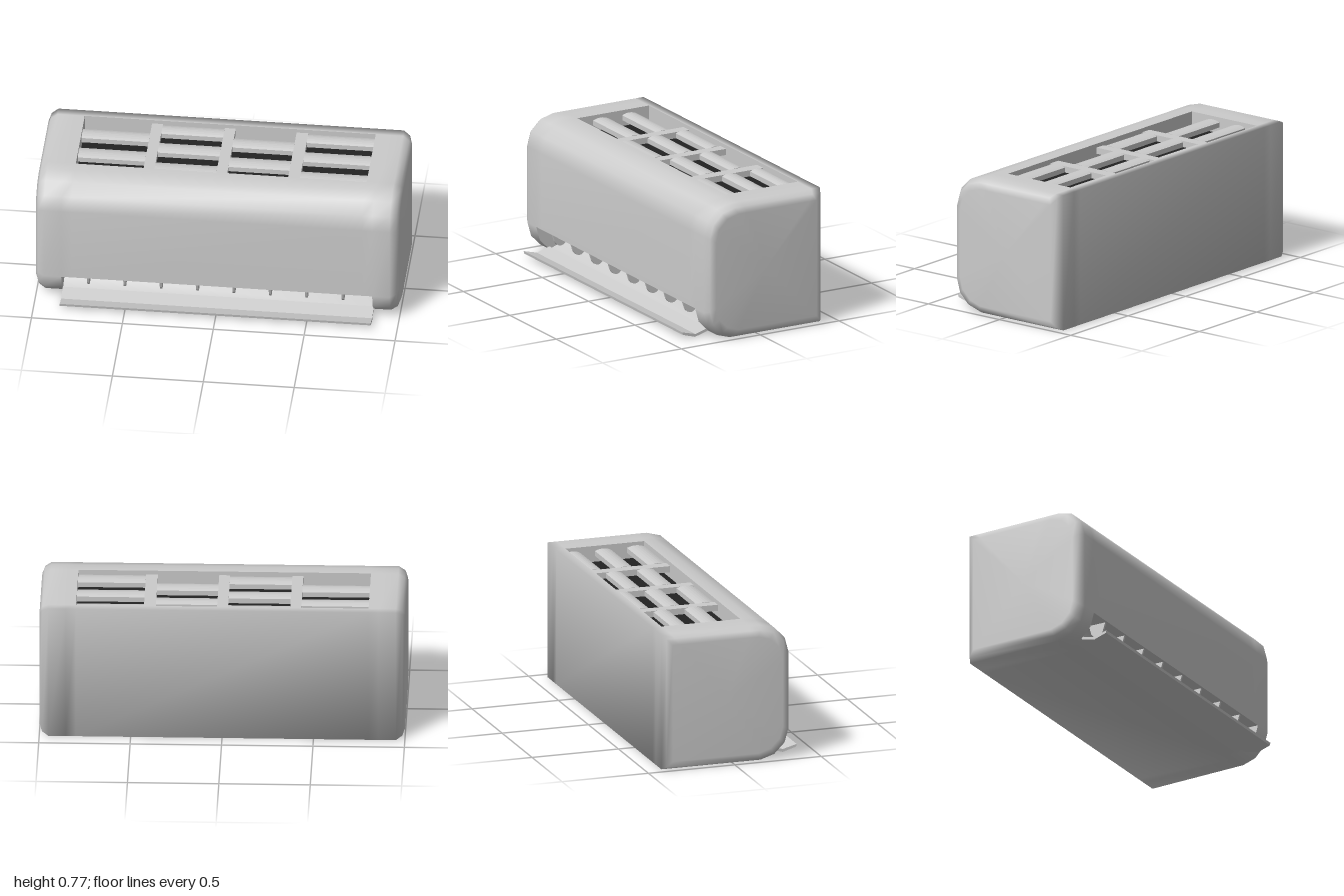
import * as THREE from 'three';

const grey = new THREE.MeshStandardMaterial({ color: 0xcccccc });
const greyThin = new THREE.MeshStandardMaterial({ color: 0xcccccc, side: THREE.DoubleSide });
const dark = new THREE.MeshStandardMaterial({ color: 0x222222 });

// Side profile of the housing as [z, y], from the back bottom edge round the front
const PROFILE = [[-0.408, 0], [0.165, 0], [0.245, 0.025], [0.305, 0.085], [0.328, 0.165], [0.328, 0.6],
  [0.305, 0.685], [0.245, 0.745], [0.165, 0.767], [0.1, 0.767], [-0.355, 0.767], [-0.408, 0.767]];
const OUTLET_X = 0.855, GRILLE_X = 0.8, GRILLE_BACK = -0.355, GRILLE_FRONT = 0.1, TOP = 0.767;

function mesh(name, geometry, material = grey) {
  const m = new THREE.Mesh(geometry, material);
  m.name = name;
  return m;
}

function sideShape(points) {
  return new THREE.Shape(points.map(([z, y]) => new THREE.Vector2(z, y)));
}

// Solid with a [z, y] section, centred on x = 0
function bar(shape, width) {
  return new THREE.ExtrudeGeometry(shape, { depth: width, bevelEnabled: false, curveSegments: 6 })
    .translate(0, 0, -width / 2).rotateY(-Math.PI / 2);
}

function surface(positions, index) {
  const g = new THREE.BufferGeometry();
  g.setAttribute('position', new THREE.Float32BufferAttribute(positions, 3));
  g.setIndex(index);
  g.computeVertexNormals();
  return g;
}

// Housing lofted along x, with inset ends and gaps for the outlet and the grille
function housing() {
  const stations = [[-1, 0.05], [-0.985, 0.018], [-0.95, 0], [-OUTLET_X, 0], [-GRILLE_X, 0],
    [GRILLE_X, 0], [OUTLET_X, 0], [0.95, 0], [0.985, 0.018], [1, 0.05]];
  const n = PROFILE.length, zc = -0.04, yc = TOP / 2, pos = [], index = [];
  for (const [x, inset] of stations) {
    const s = 1 - inset / 0.37;
    for (const [z, y] of PROFILE) pos.push(x, yc + (y - yc) * s, zc + (z - zc) * s);
  }
  for (let i = 0; i < stations.length - 1; i++) {
    const mid = Math.abs(stations[i][0] + stations[i + 1][0]) / 2;
    for (let j = 0; j < n; j++) {
      if ((j === 2 || j === 3) && mid < OUTLET_X) continue;
      if (j === 9 && mid < GRILLE_X) continue;
      const k = (j + 1) % n, a = i * n + j, b = i * n + k;
      index.push(a, a + n, b + n, a, b + n, b);
    }
  }
  // End caps
  const left = pos.length / 3, last = (stations.length - 1) * n;
  pos.push(-1, yc, zc, 1, yc, zc);
  for (let j = 0; j < n; j++) {
    const k = (j + 1) % n;
    index.push(left, j, k, left + 1, last + k, last + j);
  }
  return surface(pos, index);
}

// Open sheet following a [z, y] path across the width
function sheet(path, halfWidth) {
  const pos = [], index = [];
  path.forEach(([z, y], i) => {
    pos.push(-halfWidth, y, z, halfWidth, y, z);
    if (i) index.push(2 * i - 2, 2 * i - 1, 2 * i + 1, 2 * i - 2, 2 * i + 1, 2 * i);
  });
  return surface(pos, index);
}

function outlet() {
  const g = new THREE.Group();
  g.name = 'airOutlet';
  const path = [[0.328, 0.165], [0.22, 0.168], [0.15, 0.13], [0.15, 0.06], [0.245, 0.025]];
  g.add(mesh('outletChannel', sheet(path, OUTLET_X), greyThin));
  for (const side of [-1, 1]) {
    const wall = mesh('outletEndWall',
      new THREE.ShapeGeometry(sideShape([...path, [0.305, 0.085]])).rotateY(-Math.PI / 2), greyThin);
    wall.position.x = side * OUTLET_X;
    g.add(wall);
  }
  // Row of guide fins with rounded lower ends
  const fin = new THREE.Shape();
  fin.moveTo(0.21, 0.168);
  fin.lineTo(0.225, 0.115);
  fin.quadraticCurveTo(0.24, 0.088, 0.265, 0.09);
  fin.quadraticCurveTo(0.29, 0.095, 0.3, 0.12);
  fin.lineTo(0.315, 0.166);
  const finGeometry = bar(fin, 0.012);
  for (let i = 0; i < 8; i++) {
    const m = mesh('guideFin', finGeometry);
    m.position.x = -0.71 + i * 0.2;
    g.add(m);
  }
  // Bent flap below the outlet
  g.add(mesh('flap', bar(sideShape([[0.24, 0.027], [0.328, 0.002], [0.405, 0.025],
    [0.408, 0.04], [0.326, 0.018], [0.245, 0.041]]), 2 * OUTLET_X)));
  return g;
}

function grille() {
  const g = new THREE.Group();
  g.name = 'topGrille';
  const depth = 0.09, floorY = TOP - depth, midZ = (GRILLE_BACK + GRILLE_FRONT) / 2;
  const length = GRILLE_FRONT - GRILLE_BACK;
  // Recess walls and dark floor
  g.add(mesh('recessWallBack', sheet([[GRILLE_BACK, TOP], [GRILLE_BACK, floorY]], GRILLE_X), greyThin));
  g.add(mesh('recessWallFront', sheet([[GRILLE_FRONT, TOP], [GRILLE_FRONT, floorY]], GRILLE_X), greyThin));
  for (const side of [-1, 1]) {
    const wall = mesh('recessWallSide', new THREE.PlaneGeometry(length, depth).rotateY(Math.PI / 2), greyThin);
    wall.position.set(side * GRILLE_X, TOP - depth / 2, midZ);
    g.add(wall);
  }
  const floor = mesh('recessFloor', new THREE.PlaneGeometry(2 * GRILLE_X, length).rotateX(-Math.PI / 2), dark);
  floor.position.set(0, floorY, midZ);
  g.add(floor);

  // Staggered slats in four columns, with gently arched tops
  const rows = [GRILLE_BACK, -0.272, -0.185, -0.093, 0, GRILLE_FRONT];
  const columns = [[-0.8, -0.43], [-0.37, -0.03], [0.03, 0.365], [0.43, 0.8]];
  columns.forEach(([x0, x1], c) => {
    for (let r = (c + 1) % 2; r < 5; r += 2) {
      const z0 = rows[r], z1 = rows[r + 1];
      const s = new THREE.Shape();
      s.moveTo(z0, 0.71);
      s.lineTo(z1, 0.71);
      s.lineTo(z1, 0.738);
      s.quadraticCurveTo((z0 + z1) / 2, 0.758, z0, 0.738);
      const m = mesh('slat', bar(s, x1 - x0));
      m.position.x = (x0 + x1) / 2;
      g.add(m);
    }
  });
  // Cross ribs joining the columns
  for (let c = 0; c < 3; c++) {
    const x0 = columns[c][1], x1 = columns[c + 1][0];
    const rib = mesh('crossRib', new THREE.BoxGeometry(x1 - x0, 0.035, length));
    rib.position.set((x0 + x1) / 2, 0.7275, midZ);
    g.add(rib);
  }
  return g;
}

export function createModel() {
  const model = new THREE.Group();
  model.name = 'wallAirConditioner';
  model.add(mesh('housing', housing(), greyThin), outlet(), grille());
  return model;
}
